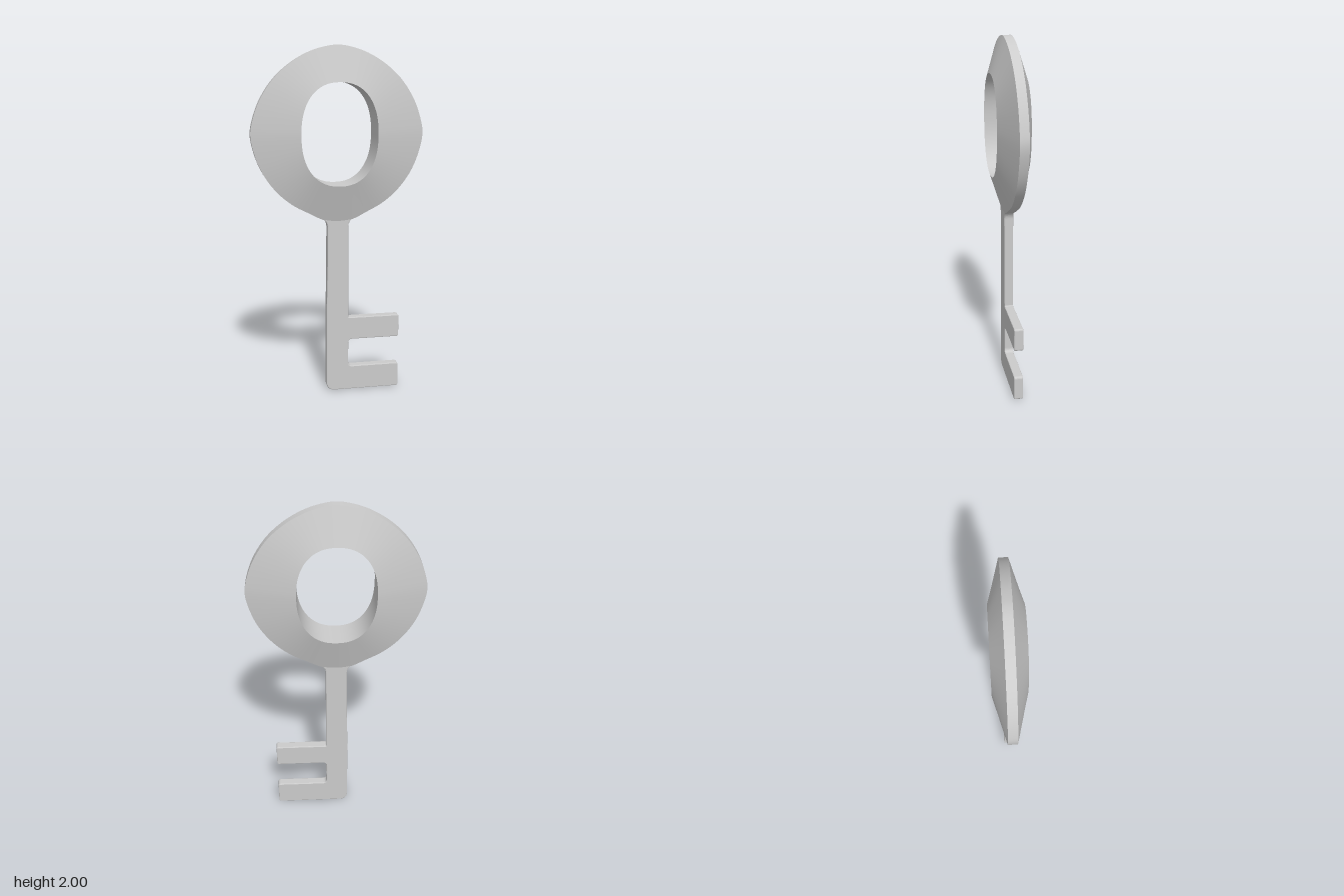
import * as THREE from 'three';

const BOW_CENTRE_Y = 1.515;

// Outline of one half of the bow, from the top down to the shaft
const HALF_OUTLINE = [
  [0.05, 1.995], [0.15, 1.966], [0.26, 1.905], [0.36, 1.815], [0.435, 1.7], [0.475, 1.59],
  [0.487, 1.515], [0.47, 1.42], [0.425, 1.305], [0.35, 1.2], [0.26, 1.122], [0.16, 1.068], [0.08, 1.03],
];

// Point on the oval hole in a given direction from its centre
function holePoint(angle) {
  const c = Math.cos(angle), s = Math.sin(angle), n = 2.3;
  const r = (Math.abs(c / 0.215) ** n + Math.abs(s / 0.285) ** n) ** (-1 / n);
  return [r * c, BOW_CENTRE_Y + r * s];
}

// Ring that is thick at the hole and tapers to a thin rim
function bowGeometry(steps = 128) {
  const left = HALF_OUTLINE.map(([x, y]) => new THREE.Vector3(-x, y, 0));
  const right = HALF_OUTLINE.map(([x, y]) => new THREE.Vector3(x, y, 0)).reverse();
  const curve = new THREE.CatmullRomCurve3(
    [new THREE.Vector3(0, 2, 0), ...left, new THREE.Vector3(0, 1.02, 0), ...right], true);

  const sections = [];
  for (let i = 0; i < steps; i++) {
    const p = curve.getPoint(i / steps);
    const [hx, hy] = holePoint(Math.atan2(p.y - BOW_CENTRE_Y, p.x));
    sections.push([[hx, hy, -0.093], [hx, hy, 0.093], [p.x, p.y, 0.025], [p.x, p.y, -0.025]]);
  }

  // Each band has its own vertices, so the edges between bands stay sharp
  const positions = [], indices = [];
  for (let band = 0; band < 4; band++) {
    const base = band * steps * 2;
    for (let i = 0; i < steps; i++) {
      positions.push(...sections[i][band], ...sections[i][(band + 1) % 4]);
      const a = base + i * 2, d = base + ((i + 1) % steps) * 2;
      indices.push(a, a + 1, d + 1, a, d + 1, d);
    }
  }
  const geometry = new THREE.BufferGeometry();
  geometry.setAttribute('position', new THREE.Float32BufferAttribute(positions, 3));
  geometry.setIndex(indices);
  geometry.computeVertexNormals();
  return geometry;
}

// Polygon with each corner [x, y, radius] rounded
function roundedShape(corners) {
  const shape = new THREE.Shape();
  const count = corners.length;
  corners.forEach(([x, y, radius], i) => {
    const p = new THREE.Vector2(x, y);
    const toward = ([qx, qy]) =>
      new THREE.Vector2(qx, qy).sub(p).normalize().multiplyScalar(radius).add(p);
    const start = toward(corners[(i + count - 1) % count]);
    const end = toward(corners[(i + 1) % count]);
    if (i === 0) shape.moveTo(start.x, start.y);
    else shape.lineTo(start.x, start.y);
    if (radius > 0) shape.quadraticCurveTo(x, y, end.x, end.y);
  });
  shape.closePath();
  return shape;
}

// Shaft and two teeth as one bevelled plate
function shaftGeometry() {
  const bevel = 0.005, depth = 0.052;
  const shape = roundedShape([
    [-0.068, 0, 0.05], [0.365, 0, 0.012], [0.365, 0.145, 0.015], [0.062, 0.145, 0.025],
    [0.062, 0.311, 0.025], [0.365, 0.311, 0.012], [0.365, 0.445, 0.012], [0.062, 0.445, 0.006],
    [0.06, 1.015, 0.03], [0.1, 1.045, 0], [-0.1, 1.045, 0], [-0.06, 1.015, 0.03],
    [-0.062, 0.7, 0.05], [-0.068, 0.45, 0.05],
  ]);
  const geometry = new THREE.ExtrudeGeometry(shape, {
    depth: depth - 2 * bevel, bevelEnabled: true, bevelSize: bevel, bevelOffset: -bevel,
    bevelThickness: bevel, bevelSegments: 2, curveSegments: 8,
  });
  return geometry.translate(0, 0, bevel - depth / 2);
}

export function createModel() {
  const group = new THREE.Group();
  group.name = 'key';
  const material = new THREE.MeshStandardMaterial({ color: 0xcccccc });
  const add = (name, geometry) => {
    const mesh = new THREE.Mesh(geometry, material);
    mesh.name = name;
    group.add(mesh);
  };
  add('bow', bowGeometry());
  add('shaftAndTeeth', shaftGeometry());
  return group;
}
